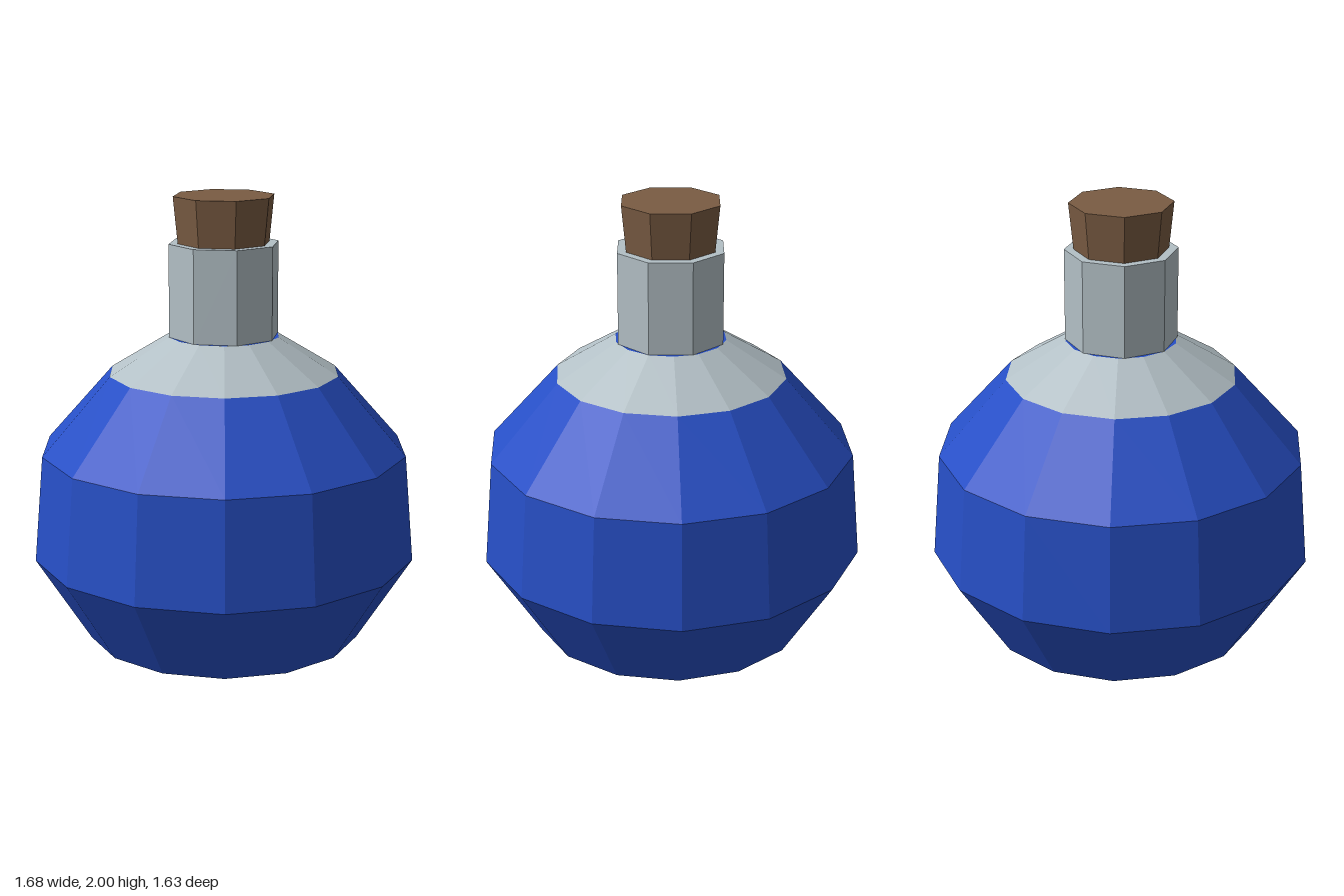
import * as THREE from 'three';

const flat = (name, color) => {
  const m = new THREE.MeshStandardMaterial({ color, flatShading: true });
  m.name = name;
  return m;
};

export function createModel() {
  const group = new THREE.Group();
  group.name = 'potionFlask';
  const blue = flat('blue liquid', 0x274fc6);
  const glass = flat('pale glass', 0xb3c0c6);
  const cork = flat('cork brown', 0x7a5c43);

  const add = (name, geometry, material, y = 0) => {
    const mesh = new THREE.Mesh(geometry, material);
    mesh.name = name;
    mesh.position.y = y;
    group.add(mesh);
  };
  // Fourteen-sided turned form with corners on the x axis
  const turn = (profile) => new THREE.LatheGeometry(
    profile.map(([r, y]) => new THREE.Vector2(r, y)), 14, Math.PI / 2);

  // Bulb, shoulder and the thin liquid ring showing around the neck
  add('liquidBulb', turn([[0, 0], [0.6, 0.063], [0.838, 0.44], [0.798, 0.903], [0.5, 1.24]]), blue);
  add('shoulder', turn([[0.5, 1.24], [0.24, 1.4]]), glass);
  add('liquidRing', turn([[0.24, 1.4], [0, 1.4]]), blue);

  // Octagonal neck and tapered stopper
  add('neck', new THREE.CylinderGeometry(0.24, 0.24, 0.4, 8), glass, 1.6);
  add('stopper', new THREE.CylinderGeometry(0.22, 0.2, 0.2, 8), cork, 1.9);

  return group;
}
